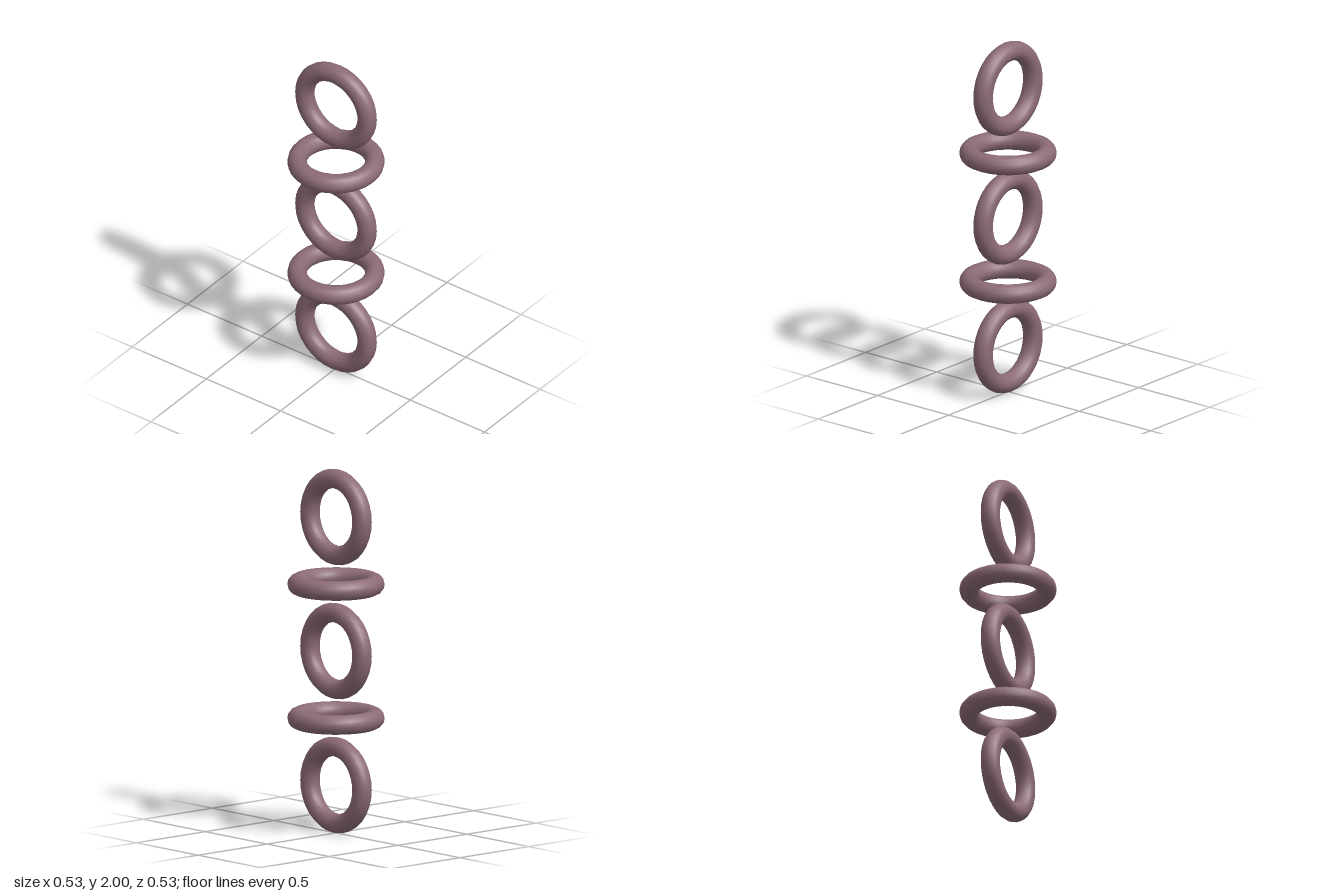
import * as THREE from 'three';

export function createModel() {
  const model = new THREE.Group();
  model.name = 'ringStack';
  const mauve = new THREE.MeshStandardMaterial({ color: 0x8c6b74 });
  mauve.name = 'dusty mauve';

  // One ring shape shared by every link
  const ring = new THREE.TorusGeometry(0.21, 0.053, 14, 32);

  // Links alternate between upright and lying flat
  for (let i = 0; i < 5; i++) {
    const flat = i % 2 === 1;
    const link = new THREE.Mesh(ring, mauve);
    link.name = (flat ? 'flatRing' : 'uprightRing') + (i + 1);
    link.position.y = 0.267 + i * 0.3675;
    if (flat) link.rotation.x = Math.PI / 2;
    model.add(link);
  }
  return model;
}
